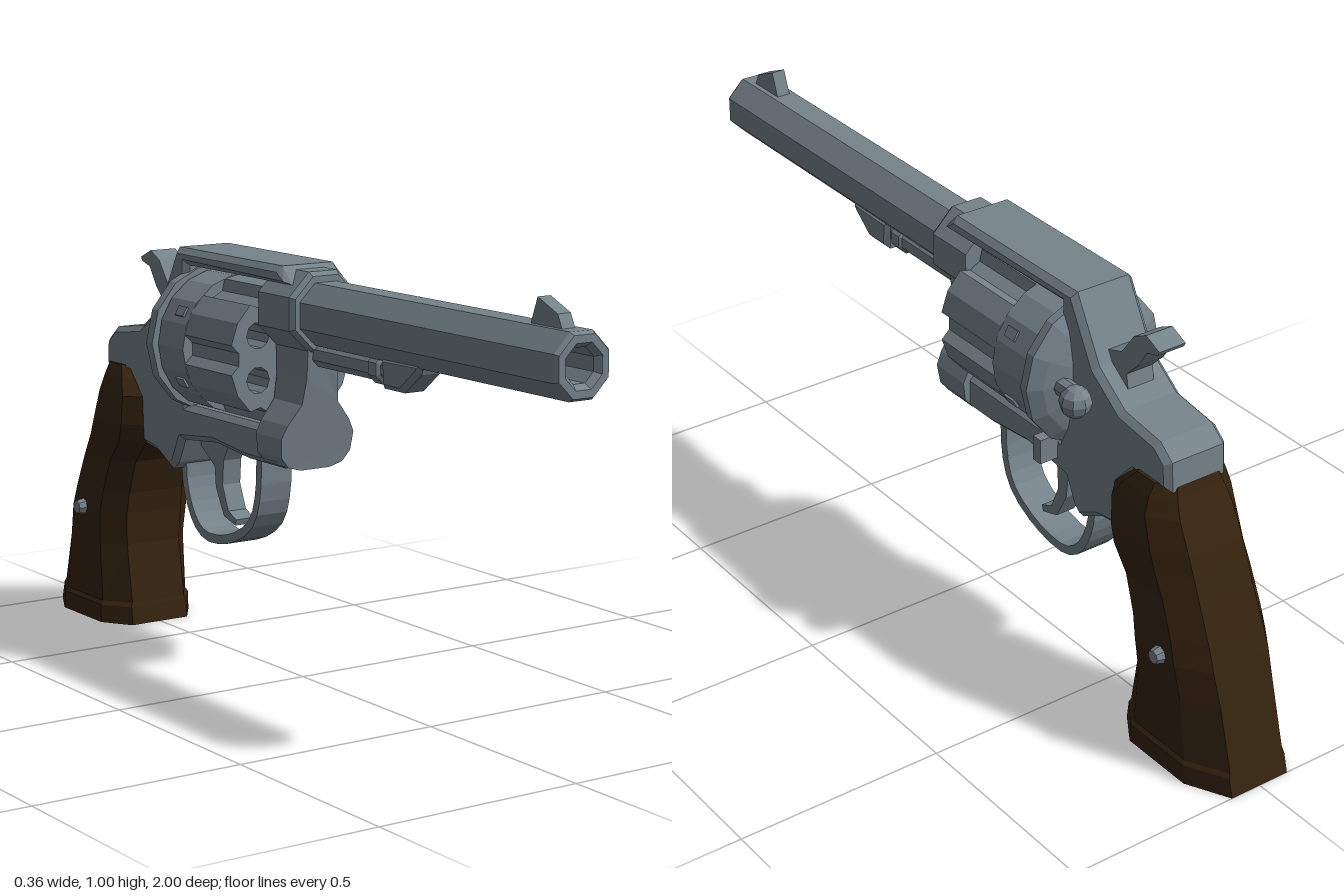
import * as THREE from 'three';

const steel = new THREE.MeshStandardMaterial({ color: 0x75838a });
steel.name = 'blued steel';
const wood = new THREE.MeshStandardMaterial({ color: 0x35230f });
wood.name = 'dark walnut';

const vecs = (pts) => pts.map(([a, b]) => new THREE.Vector2(a, b));

// Faceted normals for the low-poly look
function flat(geo) {
  const g = geo.index ? geo.toNonIndexed() : geo;
  g.computeVertexNormals();
  return g;
}

// Extrude a (z, y) side outline to a width centred on x = 0
function sideExtrude(shape, width, bevel = 0) {
  const depth = width - 2 * bevel;
  const g = new THREE.ExtrudeGeometry(shape, {
    depth, bevelEnabled: bevel > 0, bevelSize: bevel, bevelThickness: bevel,
    bevelOffset: -bevel, bevelSegments: 1, curveSegments: 6,
  });
  return g.translate(0, 0, -depth / 2).rotateY(-Math.PI / 2);
}
const profile = (pts, width, bevel) => sideExtrude(new THREE.Shape(vecs(pts)), width, bevel);

// Curved strip of constant thickness following a (z, y) path
function ribbon(pts, thickness, width) {
  const curve = new THREE.SplineCurve(vecs(pts));
  const a = [], b = [];
  for (let i = 0; i <= 18; i++) {
    const p = curve.getPoint(i / 18), t = curve.getTangent(i / 18);
    const n = new THREE.Vector2(-t.y, t.x).multiplyScalar(thickness / 2);
    a.push(p.clone().add(n));
    b.unshift(p.clone().sub(n));
  }
  return sideExtrude(new THREE.Shape([...a, ...b]), width);
}

// Turned part along z; profile points are (radius, z)
const turned = (pts, sides, y) =>
  new THREE.LatheGeometry(vecs(pts), sides, Math.PI / sides).rotateX(Math.PI / 2).translate(0, y, 0);

// Grip body: eight-sided sections stacked upward, rows are [y, zFront, zBack, halfWidth]
function gripGeometry(rows) {
  const pos = [], idx = [], n = 8;
  for (const [y, f, b, w] of rows) {
    const d = f - b;
    const right = [[0.62 * w, f], [w, f - 0.2 * d], [w, b + 0.28 * d], [0.6 * w, b]];
    const loop = [...right, ...right.map(([x, z]) => [-x, z]).reverse()];
    loop.forEach(([x, z]) => pos.push(x, y, z));
  }
  const last = (rows.length - 1) * n;
  for (let r = 0; r < last; r += n) {
    for (let j = 0; j < n; j++) {
      const k = (j + 1) % n;
      idx.push(r + j, r + k, r + n + k, r + j, r + n + k, r + n + j);
    }
  }
  for (let j = 1; j < n - 1; j++) idx.push(0, j + 1, j, last, last + j, last + j + 1);
  const g = new THREE.BufferGeometry();
  g.setAttribute('position', new THREE.Float32BufferAttribute(pos, 3));
  g.setIndex(idx);
  return g;
}

export function createModel() {
  const model = new THREE.Group();
  const add = (name, geo, mat = steel, parent = model) => {
    const m = new THREE.Mesh(flat(geo), mat);
    m.name = name;
    parent.add(m);
    return m;
  };

  // Octagonal barrel with open bore
  add('barrel', turned([[0.077, 0.05], [0.077, 0.99], [0.07, 1], [0.052, 1], [0.04, 0.985],
    [0.04, 0.85], [0, 0.85]], 8, 0.87));
  add('frontSight', profile([[0.955, 0.93], [0.935, 0.97], [0.87, 0.998], [0.845, 0.93]], 0.034));

  // Ejector rod and its lug under the barrel
  add('ejectorRod', turned([[0.032, 0.06], [0.032, 0.3], [0.038, 0.305], [0.038, 0.335],
    [0.028, 0.34], [0.028, 0.37]], 8, 0.777));
  add('ejectorLug', profile([[0.5, 0.81], [0.49, 0.785], [0.43, 0.737], [0.355, 0.737], [0.35, 0.81]], 0.074, 0.012));

  // Main frame, open in front of the cylinder window
  add('frame', profile([
    [0.06, 0.935], [0.02, 0.975], [-0.42, 0.975], [-0.45, 0.92], [-0.5, 0.83], [-0.59, 0.765],
    [-0.71, 0.748], [-0.75, 0.715], [-0.755, 0.645], [-0.64, 0.64], [-0.59, 0.585], [-0.585, 0.475],
    [-0.52, 0.465], [-0.455, 0.43], [-0.43, 0.45], [-0.4, 0.51], [-0.26, 0.525], [-0.12, 0.51],
    [0.03, 0.51], [0.03, 0.6], [-0.375, 0.6], [-0.375, 0.935],
  ], 0.165, 0.014));
  add('barrelCollar', turned([[0, -0.045], [0.1, -0.045], [0.1, 0.08], [0.09, 0.092], [0.07, 0.092]], 8, 0.873));

  // Front post: narrow neck flaring into a wide foot, front face sloping back
  const half = [[0.045, 0.84], [0.042, 0.72], [0.05, 0.66], [0.085, 0.615], [0.1, 0.585],
    [0.095, 0.54], [0.075, 0.515], [0.04, 0.505]];
  const post = new THREE.ExtrudeGeometry(
    new THREE.Shape(vecs([...half, ...half.map(([x, y]) => [-x, y]).reverse()])),
    { depth: 0.135, bevelEnabled: false }).translate(0, 0, -0.045);
  const p = post.attributes.position;
  for (let i = 0; i < p.count; i++) {
    if (p.getZ(i) > 0) p.setZ(i, 0.05 + 0.04 * THREE.MathUtils.clamp((p.getY(i) - 0.51) / 0.3, 0, 1));
  }
  add('framePost', post);

  // Cylinder: fluted, bored front half and plain rear half
  const drum = new THREE.Group();
  drum.name = 'cylinder';
  drum.position.y = 0.757;
  model.add(drum);
  const outline = [], chambers = [];
  const polar = (deg, r) => [r * Math.cos(deg * Math.PI / 180), r * Math.sin(deg * Math.PI / 180)];
  for (let a = 0; a < 360; a += 60) {
    outline.push(polar(a - 12, 0.166), polar(a - 6, 0.143), polar(a + 6, 0.143),
      polar(a + 12, 0.166), polar(a + 30, 0.168));
    chambers.push(new THREE.Path().absarc(...polar(a + 30, 0.104), 0.031, 0, Math.PI * 2, true));
  }
  const fluted = new THREE.Shape(vecs(outline));
  fluted.holes.push(...chambers);
  add('flutedFront', new THREE.ExtrudeGeometry(fluted, { depth: 0.2, bevelEnabled: false, curveSegments: 5 })
    .translate(0, 0, -0.25), steel, drum);
  add('drumRear', turned([[0, -0.36], [0.168, -0.36], [0.168, -0.25], [0, -0.25]], 18, 0), steel, drum);
  for (let a = 0; a < 360; a += 60) {
    add('stopNotch', new THREE.BoxGeometry(0.008, 0.024, 0.035).translate(0.167, 0, -0.29)
      .rotateZ((a + 30) * Math.PI / 180), steel, drum);
  }

  // Recoil shield behind the cylinder, tapering to the rear
  add('recoilShield', turned([[0, -0.43], [0.1, -0.425], [0.15, -0.41], [0.182, -0.392],
    [0.18, -0.368], [0, -0.364]], 14, 0.757));

  // Cylinder release knob and catch on the left side
  add('releaseKnob', new THREE.SphereGeometry(0.037, 8, 6).translate(0.122, 0.757, -0.487));
  add('releaseStem', new THREE.CylinderGeometry(0.022, 0.022, 0.09, 8).rotateX(Math.PI / 2)
    .translate(0.105, 0.757, -0.44));
  add('sideCatch', new THREE.BoxGeometry(0.055, 0.06, 0.028).translate(0.102, 0.577, -0.362));

  // Hammer
  add('hammer', profile([[-0.44, 0.78], [-0.47, 0.85], [-0.53, 0.87], [-0.57, 0.925], [-0.61, 0.945],
    [-0.655, 0.925], [-0.65, 0.915], [-0.615, 0.905], [-0.585, 0.86], [-0.55, 0.825], [-0.56, 0.76]], 0.07));

  // Trigger and guard
  add('triggerGuard', ribbon([[-0.12, 0.53], [-0.125, 0.42], [-0.16, 0.34], [-0.25, 0.29],
    [-0.35, 0.278], [-0.41, 0.315], [-0.445, 0.39], [-0.45, 0.455]], 0.022, 0.085));
  add('trigger', profile([[-0.26, 0.54], [-0.3, 0.47], [-0.305, 0.41], [-0.28, 0.35], [-0.245, 0.335],
    [-0.25, 0.32], [-0.3, 0.335], [-0.335, 0.4], [-0.34, 0.45], [-0.4, 0.49], [-0.4, 0.54]], 0.05));

  // Grip and its screws
  add('grip', gripGeometry([
    [0, -0.64, -1, 0.129], [0.045, -0.645, -0.988, 0.129], [0.055, -0.648, -0.985, 0.122],
    [0.2, -0.67, -0.945, 0.122], [0.28, -0.665, -0.92, 0.127], [0.335, -0.655, -0.9, 0.124],
    [0.42, -0.625, -0.862, 0.121], [0.475, -0.575, -0.84, 0.121], [0.52, -0.565, -0.82, 0.121],
    [0.59, -0.57, -0.785, 0.118], [0.63, -0.605, -0.765, 0.105], [0.66, -0.64, -0.752, 0.09],
  ]), wood);
  for (const s of [-1, 1]) {
    add('gripScrew', new THREE.CylinderGeometry(0.016, 0.024, 0.03, 8).rotateZ(-s * Math.PI / 2)
      .translate(s * 0.13, 0.283, -0.8));
  }
  return model;
}
